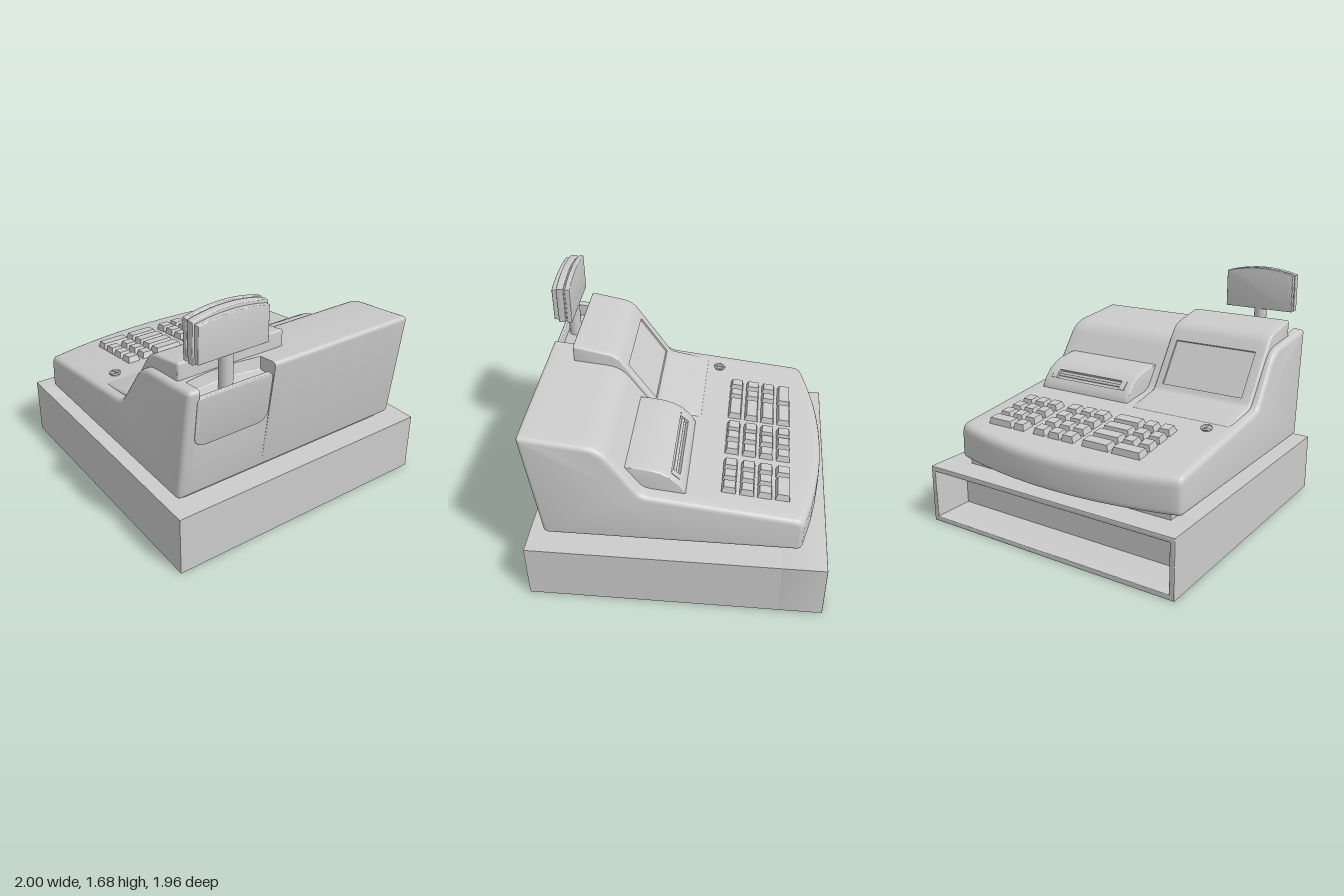
import * as THREE from 'three';
import { toCreasedNormals } from 'three/addons/utils/BufferGeometryUtils.js';

const grey = new THREE.MeshStandardMaterial({ color: 0xcccccc });

function add(parent, name, geometry, x = 0, y = 0, z = 0) {
  const mesh = new THREE.Mesh(geometry, grey);
  mesh.name = name;
  mesh.position.set(x, y, z);
  parent.add(mesh);
  return mesh;
}

// Polygon of [x, y, radius] corners, listed clockwise, to rounded counter-clockwise points
function roundPoly(corners, steps = 5) {
  const v = corners.map(([x, y]) => new THREE.Vector2(x, y));
  const n = v.length, out = [];
  for (let i = 0; i < n; i++) {
    const p = v[i], a = v[(i + n - 1) % n], b = v[(i + 1) % n], r = corners[i][2] || 0;
    if (!r) { out.push(p); continue; }
    const cut = (q) => p.clone().lerp(q, Math.min(0.45, r / p.distanceTo(q)));
    out.push(...new THREE.QuadraticBezierCurve(cut(a), p, cut(b)).getPoints(steps));
  }
  return out.reverse();
}

// Move an outline inward by d
function inset(pts, d) {
  const n = pts.length;
  return pts.map((p, i) => {
    const t = pts[(i + 1) % n].clone().sub(pts[(i + n - 1) % n]).normalize();
    return new THREE.Vector2(p.x - t.y * d, p.y + t.x * d);
  });
}

// Solid through profile(z) outlines, with rounded rims at both ends
function loft(profile, z0, z1, middle, r, taper = (x, y, z) => z) {
  const rim = [0, 1, 2, 3].map((k) => {
    const a = (k / 3) * Math.PI / 2;
    return [r * (1 - Math.sin(a)), r * (1 - Math.cos(a))];
  });
  const sections = [
    ...rim.slice().reverse().map(([d, s]) => [z0 + s, r - (r - d)]).map(([z, d]) => [z, d]),
    ...middle.map((z) => [z, 0]),
    ...rim.map(([d, s]) => [z1 - d, s]),
  ];
  // start rim mirrors the end rim
  rim.slice().reverse().forEach(([d, s], i) => { sections[i] = [z0 + d, s]; });
  const rings = sections.map(([z, s]) => inset(profile(z), s));
  const n = rings[0].length, pos = [], idx = [];
  rings.forEach((ring, i) => ring.forEach((p) => pos.push(p.x, p.y, taper(p.x, p.y, sections[i][0]))));
  for (let i = 0; i < rings.length - 1; i++) {
    for (let j = 0; j < n; j++) {
      const a = i * n + j, b = i * n + (j + 1) % n;
      idx.push(a, b, b + n, a, b + n, a + n);
    }
  }
  const last = (rings.length - 1) * n;
  THREE.ShapeUtils.triangulateShape(rings[0], []).forEach(([a, b, c]) => idx.push(c, b, a));
  THREE.ShapeUtils.triangulateShape(rings[rings.length - 1], []).forEach(([a, b, c]) => idx.push(last + a, last + b, last + c));
  const g = new THREE.BufferGeometry();
  g.setAttribute('position', new THREE.Float32BufferAttribute(pos, 3));
  g.setIndex(idx);
  return toCreasedNormals(g, 0.6);
}

// Shape in the z-y plane, thickened along +x from x = 0
function slab(shape, depth, b) {
  const g = new THREE.ExtrudeGeometry(shape, {
    depth: depth - 2 * b, bevelEnabled: b > 0, bevelThickness: b, bevelSize: b, bevelOffset: -b, bevelSegments: 3, curveSegments: 16,
  });
  return toCreasedNormals(g.translate(0, 0, b).rotateY(Math.PI / 2), 0.6);
}

function rect(w, h, Type = THREE.Shape) {
  return new Type([[-w, -h], [w, -h], [w, h], [-w, h]].map(([x, y]) => new THREE.Vector2(x / 2, y / 2)));
}

// Height of the sloping keyboard deck
const deckY = (x) => 0.68 + 0.12 * (x + 0.95);
const deckTilt = Math.atan(0.12);

function makeKey(w, d) {
  const g = new THREE.BoxGeometry(w, 0.06, d);
  const p = g.attributes.position;
  for (let i = 0; i < p.count; i++) {
    if (p.getY(i) < 0) continue;
    p.setX(i, p.getX(i) - Math.sign(p.getX(i)) * 0.015);
    p.setZ(i, p.getZ(i) - Math.sign(p.getZ(i)) * 0.015);
  }
  g.computeVertexNormals();
  return g;
}

export function createModel() {
  const model = new THREE.Group();
  model.name = 'cashRegister';

  // Drawer box with an open bay towards -x
  const base = new THREE.Group();
  base.name = 'drawerBase';
  model.add(base);
  const bay = rect(1.96, 0.41);
  bay.holes.push(rect(1.89, 0.34, THREE.Path));
  add(base, 'drawerBay', slab(bay, 0.3, 0.004), -1, 0.205, 0);
  add(base, 'drawerHousing', new THREE.BoxGeometry(1.705, 0.41, 1.96), 0.1475, 0.205, 0);
  add(model, 'plinth', new THREE.BoxGeometry(1.64, 0.08, 1.62), 0.01, 0.43, 0.03);

  // Main body: bowed front edge, notch at the top rear for the pole
  const bodyProfile = (z) => {
    const f = -0.955 + 0.135 * ((z - 0.03) / 0.885) ** 2;
    const notch = z > 0.2905 && z < 0.8395;
    const wall = notch ? 0.85 - 0.03 * Math.sin(Math.PI * (z - 0.29) / 0.55) : 0.85;
    return roundPoly([
      [f, 0.45, 0.035], [f, deckY(f), 0.06], [0.22, 0.822, 0.05], [0.475, 1.185, 0.1],
      [wall, 1.225, 0.004],
      ...(notch ? [[wall + 0.001, 1.14, 0.01], [0.978, 1.14, 0.005]] : [[wall + 0.01, 1.226, 0.004], [0.996, 1.243, 0.035]]),
      [0.888, 0.45, 0.035],
    ]);
  };
  const bodyZ = [-0.75, -0.6, -0.45, -0.3, -0.15, 0, 0.15, 0.29, 0.291, 0.38, 0.47, 0.565, 0.66, 0.75, 0.839, 0.84];
  add(model, 'body', loft(bodyProfile, -0.85, 0.92, bodyZ, 0.03,
    (x, y, z) => 0.035 + (z - 0.035) * (1 - 0.03 * (y - 0.45))));

  // Rear panel below the notch
  const panel = new THREE.Shape(roundPoly([[-0.27, -0.18, 0.09], [-0.27, 0.18, 0.04], [0.27, 0.18, 0.04], [0.27, -0.18, 0.09]]));
  add(model, 'rearPanel', slab(panel, 0.03, 0.006), 0.94, 1.01, 0.565).rotation.z = -0.133;

  // Screen cover with a recessed window on its slope
  const coverProfile = (z) => {
    const k = z > 0.1405 && z < 0.7695 ? 0.012 : 0, dx = 0.823 * k, dy = -0.568 * k;
    return roundPoly([
      [-0.09, 0.7], [-0.09, 0.787, 0.01], [0.205, 0.842, 0.025],
      [0.235, 0.885], [0.236 + dx, 0.8865 + dy], [0.429 + dx, 1.1665 + dy], [0.43, 1.168],
      [0.505, 1.276, 0.08], [0.81, 1.335, 0.015], [0.81, 1.0],
    ]);
  };
  add(model, 'screenCover', loft(coverProfile, 0.08, 0.85, [0.14, 0.141, 0.769, 0.77], 0.015));

  // Receipt printer hump with a paper slot
  const printerProfile = (z) => {
    const k = z > -0.6895 && z < -0.0355 ? 0.025 : 0, dx = 0.7 * k, dy = -0.71 * k;
    return roundPoly([
      [-0.055, 0.72], [-0.055, 0.79], [-0.036, 0.83], [-0.012, 0.864], [-0.011 + dx, 0.865 + dy],
      [0.041 + dx, 0.914 + dy], [0.042, 0.915], [0.1, 0.947], [0.16, 0.967], [0.265, 0.982], [0.34, 0.985], [0.34, 0.8],
    ]);
  };
  const printer = new THREE.Group();
  printer.name = 'receiptPrinter';
  model.add(printer);
  add(printer, 'printerHump', loft(printerProfile, -0.74, 0.02, [-0.69, -0.689, -0.036, -0.035], 0.008));
  add(printer, 'paperBar', new THREE.CylinderGeometry(0.011, 0.011, 0.65, 12).rotateX(Math.PI / 2), 0.026, 0.879, -0.3625);
  for (const z of [-0.665, -0.06]) {
    add(printer, 'slotEnd', new THREE.BoxGeometry(0.072, 0.025, 0.045), 0.022, 0.882, z).rotation.z = 0.75;
  }

  // Keys: [column, z centre, depth]
  const columns = [-0.685, -0.567, -0.45, -0.33];
  const keys = [[0, -0.569, 0.205], [0, -0.405, 0.1], [0, 0.46, 0.22]];
  for (let c = 0; c < 4; c++) {
    for (const z of [-0.23, -0.107, 0.005]) keys.push([c, z, 0.105]);
    keys.push([c, 0.225, 0.215]);
    if (c > 0) for (const z of [-0.625, -0.515, -0.405, 0.4, 0.52]) keys.push([c, z, 0.1]);
  }
  const keyboard = new THREE.Group();
  keyboard.name = 'keyboard';
  model.add(keyboard);
  for (const [c, z, d] of keys) {
    add(keyboard, 'key', makeKey(0.105, d), columns[c], deckY(columns[c]) + 0.013, z).rotation.z = deckTilt;
  }

  // Key lock
  const lock = new THREE.Group();
  lock.name = 'keyLock';
  lock.position.set(-0.18, deckY(-0.18), 0.73);
  lock.rotation.z = deckTilt;
  model.add(lock);
  add(lock, 'lockBarrel', new THREE.CylinderGeometry(0.032, 0.032, 0.03, 24), 0, 0.004, 0);
  add(lock, 'lockRing', new THREE.TorusGeometry(0.035, 0.007, 8, 28).rotateX(Math.PI / 2), 0, 0.016, 0);
  add(lock, 'lockBar', new THREE.BoxGeometry(0.062, 0.012, 0.012), 0, 0.02, 0);

  // Customer display on its pole, layered with an arched top
  const display = new THREE.Group();
  display.name = 'customerDisplay';
  display.position.set(0, 0, 0.58);
  model.add(display);
  add(display, 'pole', new THREE.CylinderGeometry(0.045, 0.045, 0.27, 24), 0.9, 1.265, 0);
  const arched = (w, y0, y1, rise) => {
    const s = new THREE.Shape();
    s.moveTo(-w / 2, y0);
    s.lineTo(w / 2, y0);
    s.lineTo(w / 2, y1);
    s.quadraticCurveTo(0, y1 + 2 * rise, -w / 2, y1);
    return s;
  };
  for (const [name, x, depth, w, y0, y1, rise] of [
    ['displayBack', 0.855, 0.035, 0.52, 1.38, 1.642, 0.036],
    ['displayCore', 0.88, 0.035, 0.5, 1.39, 1.632, 0.036],
    ['displayFront', 0.9, 0.05, 0.52, 1.38, 1.642, 0.036],
    ['displayLens', 0.94, 0.045, 0.49, 1.392, 1.628, 0.026],
  ]) add(display, name, slab(arched(w, y0, y1, rise), depth, 0.005), x, 0, 0);

  return model;
}
